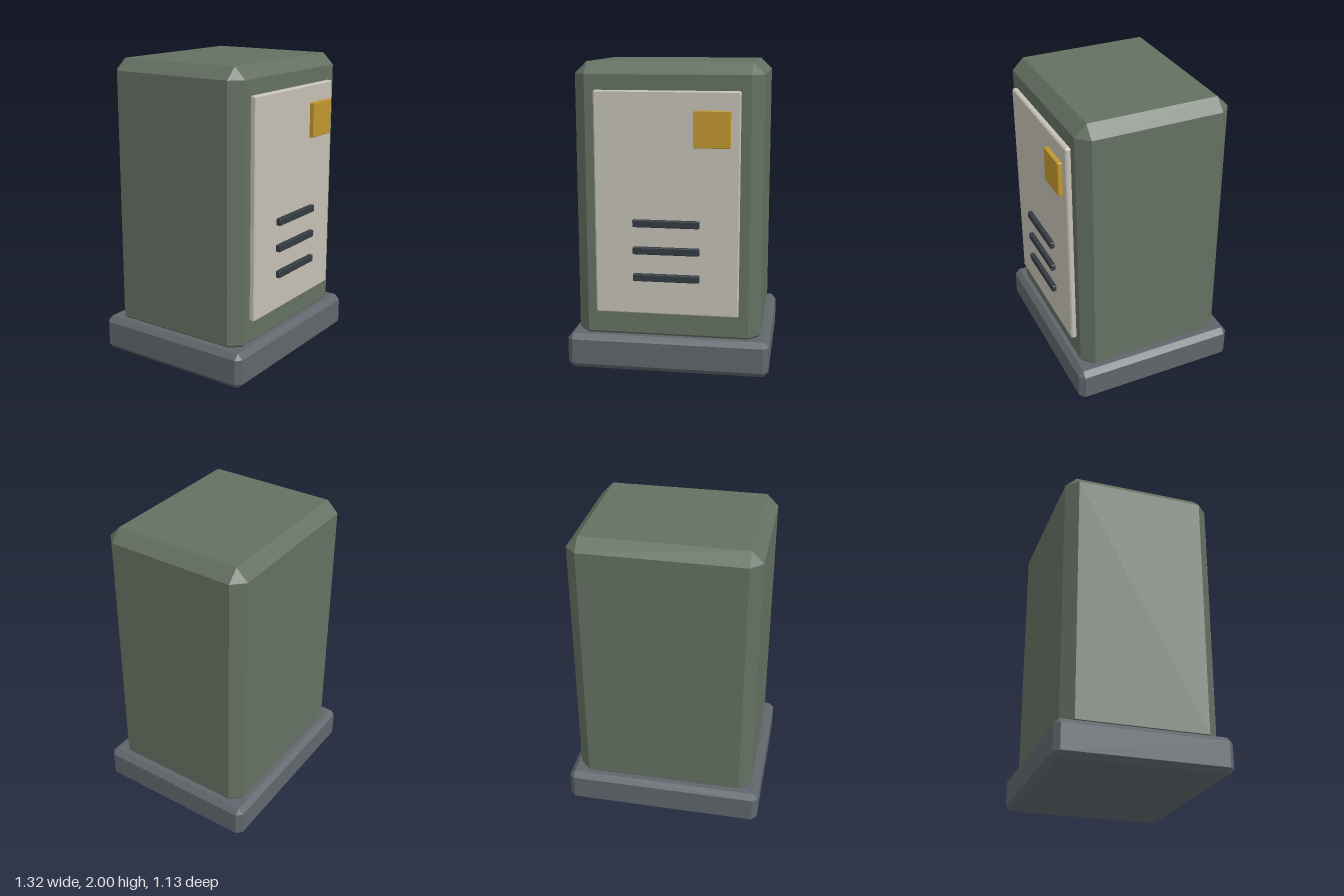
import * as THREE from 'three';
import { ConvexGeometry } from 'three/addons/geometries/ConvexGeometry.js';

// Box with flat chamfers of width c on every edge, given by its min and max corners
function chamferBox(name, min, max, c, color) {
  const half = min.map((v, i) => (max[i] - v) / 2);
  const points = [];
  for (const sx of [-1, 1]) for (const sy of [-1, 1]) for (const sz of [-1, 1]) {
    for (let axis = 0; axis < 3; axis++) {
      const p = [sx, sy, sz].map((s, i) => s * (half[i] - (i === axis ? 0 : c)));
      points.push(new THREE.Vector3(...p));
    }
  }
  const material = new THREE.MeshStandardMaterial({ color, flatShading: true });
  const mesh = new THREE.Mesh(new ConvexGeometry(points), material);
  mesh.name = name;
  mesh.position.set(...min.map((v, i) => (v + max[i]) / 2));
  return mesh;
}

export function createModel() {
  const group = new THREE.Group();
  group.name = 'cabinet';

  // Plinth and body
  group.add(chamferBox('base', [-0.66, 0, -0.565], [0.66, 0.235, 0.56], 0.035, 0x5f666b));
  group.add(chamferBox('body', [-0.6, 0.175, -0.507], [0.6, 2, 0.502], 0.076, 0x647062));

  // Front door panel
  group.add(chamferBox('frontPanel', [-0.462, 0.393, 0.46], [0.462, 1.827, 0.536], 0.008, 0xc4c0b4));

  // Badge plate in the upper corner of the panel
  group.add(chamferBox('badge', [0.175, 1.48, 0.52], [0.403, 1.71, 0.565], 0.004, 0xc0962f));

  // Three vent slats
  for (let i = 0; i < 3; i++) {
    const y = 0.641 + i * 0.1765;
    group.add(chamferBox('ventSlat' + (i + 1), [-0.213, y - 0.023, 0.525], [0.213, y + 0.023, 0.565], 0.004, 0x343b42));
  }
  return group;
}
